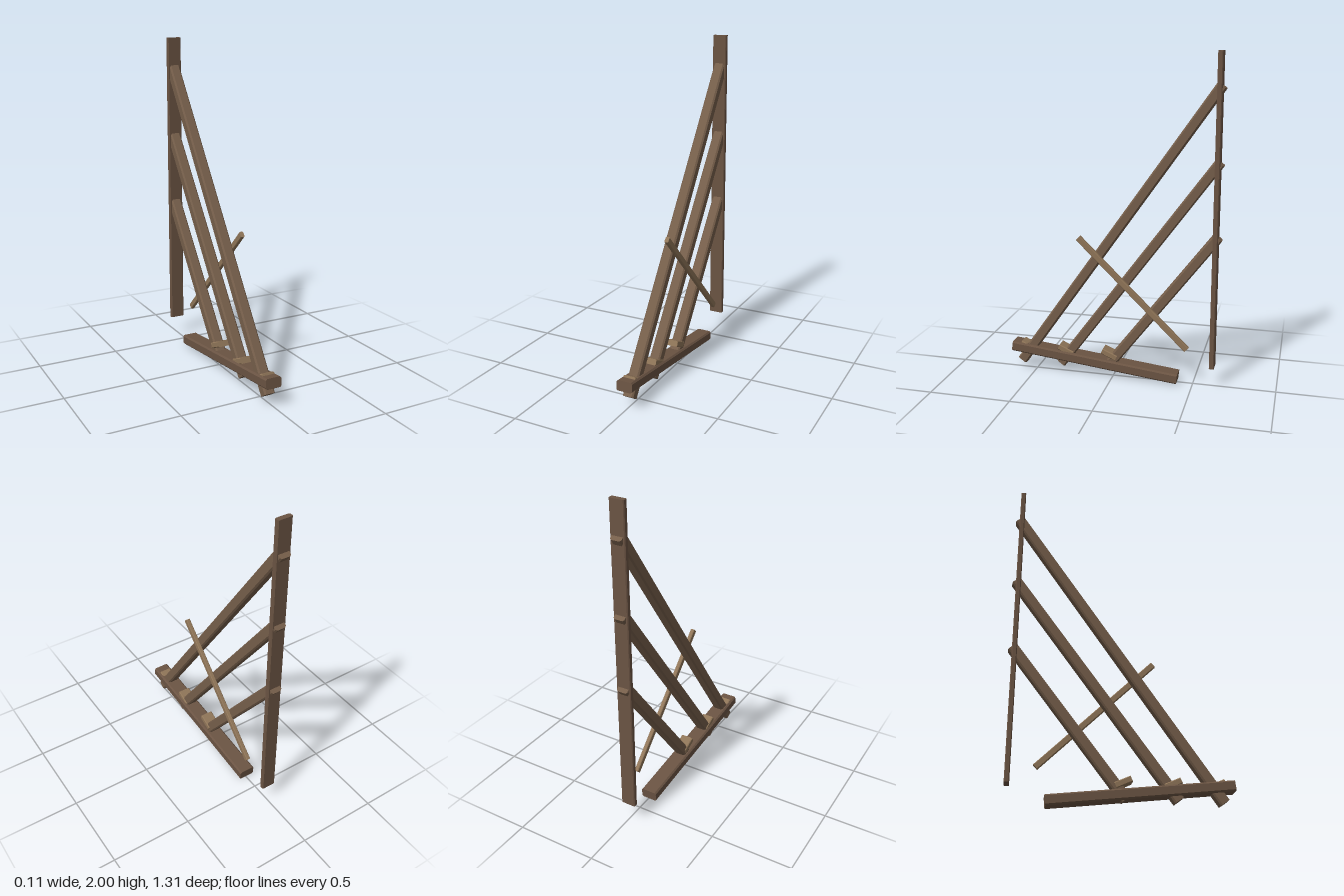
import * as THREE from 'three';

const CENTRE_X = -0.005;

// Timber with chamfered long edges, running between two [z, y] points.
function timber(name, from, to, width, depth, chamfer, color, x = CENTRE_X) {
  const w = width / 2, d = depth / 2, c = chamfer;
  const section = new THREE.Shape([
    [-w + c, -d], [w - c, -d], [w, -d + c], [w, d - c],
    [w - c, d], [-w + c, d], [-w, d - c], [-w, -d + c],
  ].map(([a, b]) => new THREE.Vector2(a, b)));
  const dz = to[0] - from[0], dy = to[1] - from[1];
  const length = Math.hypot(dz, dy);
  const geometry = new THREE.ExtrudeGeometry(section, { depth: length, bevelEnabled: false });
  geometry.translate(0, 0, -length / 2);
  const mesh = new THREE.Mesh(geometry, new THREE.MeshStandardMaterial({ color, flatShading: true }));
  mesh.name = name;
  mesh.rotation.x = -Math.atan2(dy, dz);
  mesh.position.set(x, (from[1] + to[1]) / 2, (from[0] + to[0]) / 2);
  return mesh;
}

export function createModel() {
  const group = new THREE.Group();
  group.name = 'rakingShore';
  const dark = 0x6b5443, mid = 0x755e4a, light = 0x8f7558;

  // Upright wall plank and sloping sole beam
  group.add(timber('wallPlank', [-0.615, 0.125], [-0.615, 2], 0.09, 0.03, 0.005, dark));
  group.add(timber('soleBeam', [0.652, 0.15], [-0.405, 0.034], 0.1, 0.062, 0.009, dark));

  // Three raking props, passing through the sole and the plank
  const rakers = [
    [[0.593, 0.055], [-0.627, 1.81]],
    [[0.335, 0.06], [-0.627, 1.373]],
    [[0.04, 0.058], [-0.627, 0.933]],
  ];
  rakers.forEach(([foot, head], i) =>
    group.add(timber(`raker${i + 1}`, foot, head, 0.068, 0.062, 0.009, mid)));

  // Small tilted wedges at the feet of the props
  [[0.552, 0.15], [0.302, 0.15], [0.022, 0.15]].forEach(([z, y], i) =>
    group.add(timber(`wedge${i + 1}`, [z + 0.045, y + 0.02], [z - 0.045, y - 0.02], 0.078, 0.036, 0.005, light)));

  // Diagonal lacing board on the left face of the props
  group.add(timber('lacingBoard', [0.21, 0.89], [-0.463, 0.236], 0.025, 0.036, 0.004, light, 0.038));

  return group;
}
